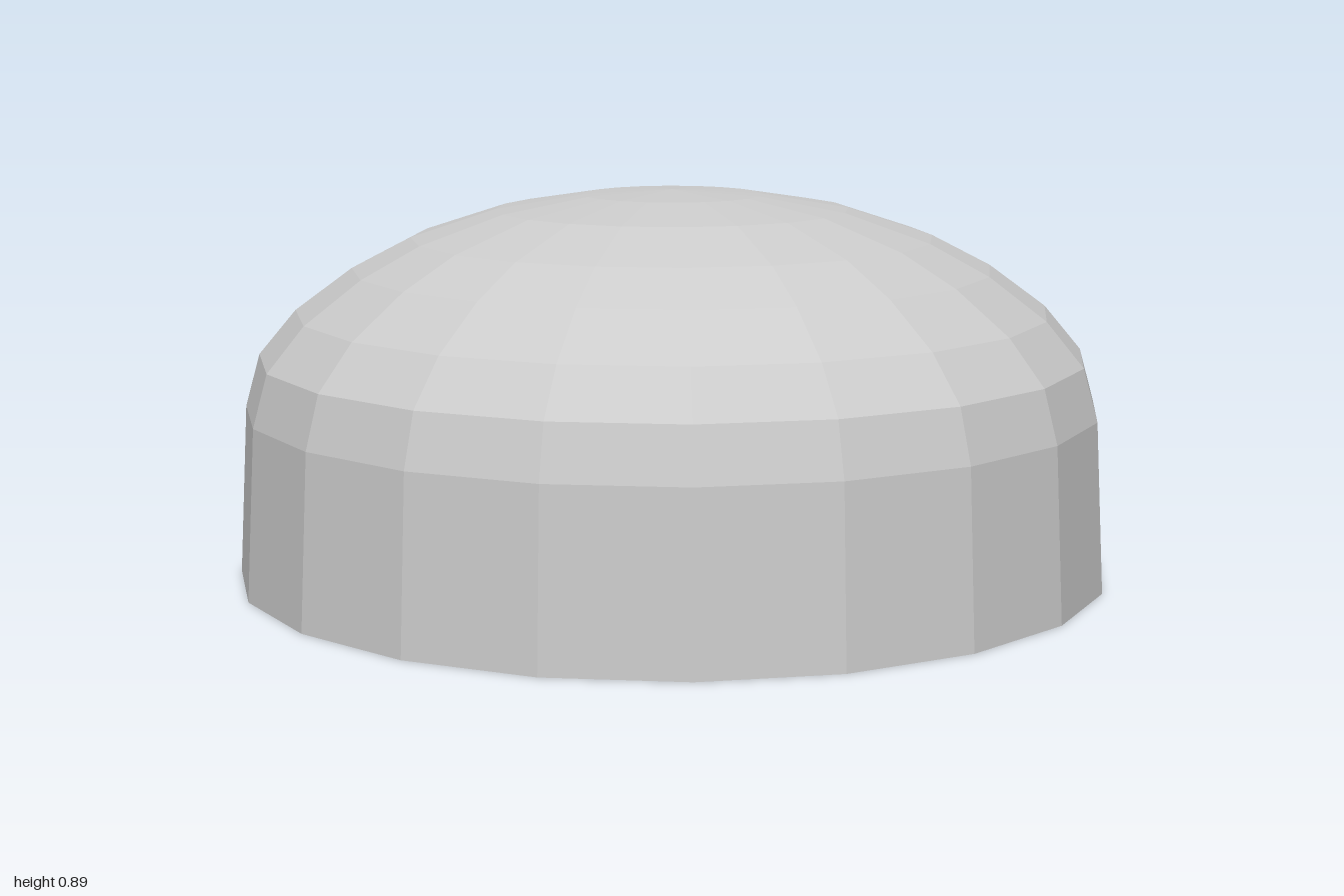
import * as THREE from 'three';

const SIDES = 20;
const START = THREE.MathUtils.degToRad(5.2);
const material = new THREE.MeshStandardMaterial({ color: 0xcccccc, flatShading: true, side: THREE.DoubleSide });

// Faceted shell of revolution, profile given as [radius, height] from rim to crown
function shell(name, profile) {
  const points = profile.map(([r, y]) => new THREE.Vector2(r, y));
  const mesh = new THREE.Mesh(new THREE.LatheGeometry(points, SIDES, START), material);
  mesh.name = name;
  return mesh;
}

// Corner of a shell ring: k counts corners round from the front
function corner(k, r, y) {
  const a = START + (k * Math.PI * 2) / SIDES;
  return new THREE.Vector3(r * Math.sin(a), y, r * Math.cos(a));
}

// Single thin triangular blade
function blade(name, ...corners) {
  const geometry = new THREE.BufferGeometry().setFromPoints(corners);
  geometry.computeVertexNormals();
  const mesh = new THREE.Mesh(geometry, material);
  mesh.name = name;
  return mesh;
}

// Mountain ridges: folded waves across u, wandering along v
function ridges(x, z) {
  const u = 0.85 * z - 0.53 * x;
  const v = 0.85 * x + 0.53 * z;
  let h = 0, size = 0.07, f = 9;
  for (let i = 0; i < 4; i++) {
    const wander = 0.9 * Math.sin(f * 0.7 * v + 2.1 * i) + 0.5 * Math.sin(f * 1.3 * v - f * 0.6 * u + i);
    h += size * (0.5 - Math.abs(Math.sin(f * u + wander + 1.7 * i)));
    size *= 0.48;
    f *= 1.8;
  }
  return h;
}

export function createModel() {
  const model = new THREE.Group();
  model.name = 'domedLandscape';

  // Outer dome, open underneath
  model.add(shell('outerDome', [
    [1.003, 0], [0.983, 0.39], [0.95, 0.51], [0.865, 0.612], [0.735, 0.708],
    [0.6, 0.778], [0.405, 0.842], [0.205, 0.875], [0, 0.886],
  ]));

  // Shallow ceiling hung inside the dome
  model.add(shell('innerDome', [
    [0.92, 0.145], [0.78, 0.29], [0.65, 0.36], [0.5, 0.42], [0.35, 0.46], [0.18, 0.48], [0, 0.49],
  ]));

  // Rugged square of ground
  const ground = new THREE.PlaneGeometry(0.93, 0.93, 56, 56).rotateX(-Math.PI / 2);
  const p = ground.attributes.position;
  for (let i = 0; i < p.count; i++) p.setY(i, ridges(p.getX(i), p.getZ(i)));
  ground.computeVertexNormals();
  const terrain = new THREE.Mesh(ground, material);
  terrain.name = 'terrain';
  terrain.position.set(0.14, 0.18, 0.115);
  model.add(terrain);

  // Thin blades running from the ground to the shells
  const apex = new THREE.Vector3(0.33, 0.2, -0.04);
  model.add(blade('rimBlade', apex, corner(-8, 1.003, 0), corner(-7, 1.003, 0)));
  model.add(blade('ceilingBlade', apex, corner(-4, 0.92, 0.145), corner(-4, 0.78, 0.29)));

  return model;
}
